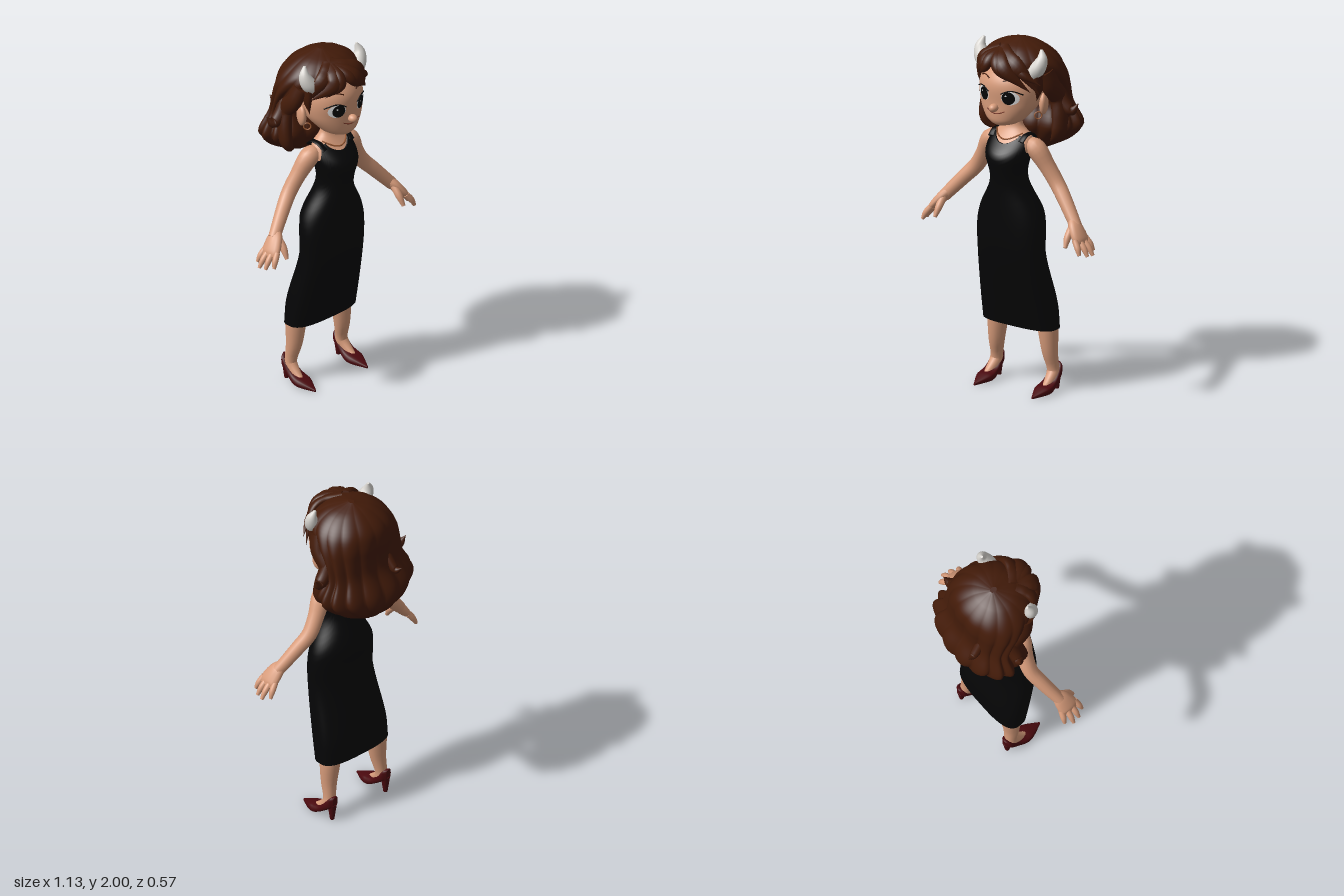
import * as THREE from 'three';

const mat = (name, color, side = THREE.FrontSide) => {
  const m = new THREE.MeshStandardMaterial({ color, side });
  m.name = name;
  return m;
};
const M = {
  skin: mat('skin', 0xd89c7b), hair: mat('hair brown', 0x431b09), dress: mat('dress black', 0x050506, THREE.DoubleSide),
  shoe: mat('shoe red', 0x4a090e), horn: mat('horn ivory', 0xd8d5d0), white: mat('eye white', 0xe8e8e8),
  black: mat('eye black', 0x050505), gold: mat('jewellery bronze', 0x9a5a34), lip: mat('mouth brown', 0x7a3a2a),
};
const { lerp, smoothstep } = THREE.MathUtils;
const TAU = Math.PI * 2;
const spow = (v, p) => Math.sign(v) * Math.abs(v) ** p;

// Surface through closed rings of points, with end caps
function skinRings(rings) {
  const n = rings[0].length, pos = [], idx = [];
  const all = [rings[0], ...rings, rings[rings.length - 1]];
  all.forEach(r => r.forEach(p => pos.push(p.x, p.y, p.z)));
  for (let i = 1; i < all.length - 2; i++) for (let j = 0; j < n; j++) {
    const k = (j + 1) % n, a = i * n + j, b = i * n + k, d = a + n, c = b + n;
    idx.push(a, d, b, b, d, c);
  }
  [0, all.length - 1].forEach(i => {
    const m = all[i].reduce((s, p) => s.add(p), new THREE.Vector3()).divideScalar(n), at = pos.length / 3;
    pos.push(m.x, m.y, m.z);
    for (let j = 0; j < n; j++) {
      const a = i * n + j, b = i * n + (j + 1) % n;
      if (i) idx.push(at, b, a); else idx.push(at, a, b);
    }
  });
  const g = new THREE.BufferGeometry();
  g.setAttribute('position', new THREE.Float32BufferAttribute(pos, 3));
  g.setIndex(idx);
  g.computeVertexNormals();
  return g;
}

// Smooth values of rows keyed on their first column
function rowAt(rows, y) {
  let i = 0;
  while (i < rows.length - 2 && y > rows[i + 1][0]) i++;
  const p = rows[i], q = rows[i + 1], o = rows[Math.max(i - 1, 0)], r = rows[Math.min(i + 2, rows.length - 1)];
  const h = q[0] - p[0], t = THREE.MathUtils.clamp((y - p[0]) / h, 0, 1), t2 = t * t, t3 = t2 * t;
  return p.map((v, k) => (2 * t3 - 3 * t2 + 1) * v + (3 * t2 - 2 * t3) * q[k]
    + (t3 - 2 * t2 + t) * h * (q[k] - o[k]) / (q[0] - o[0]) + (t3 - t2) * h * (r[k] - v) / (r[0] - p[0]));
}

// Upright loft; rows are [y, halfWidth, zFront, zBack]; square(y) makes a ring boxier, lobes scallop it
function loft(rows, { y0 = rows[0][0], grow = 0, lobes = 0, top = () => rows[rows.length - 1][0], square = () => 2, seg = 48 } = {}) {
  const ring = i => Array.from({ length: seg }, (_, j) => {
    const a = j / seg * TAU, c = Math.cos(a), v = 0.5 - 0.5 * Math.cos(Math.PI * i / 44);
    const y = lerp(y0, top(Math.abs(c)), v), [, w, f, b] = rowAt(rows, y), e = 2 / square(y);
    const depth = lobes ? lerp(0.07, 0.015, smoothstep(y, 1.6, 1.95)) : 0;
    const k = 1 + depth * (1.5 * Math.abs(Math.cos(a * lobes)) - 0.9);
    return new THREE.Vector3((w + grow) * spow(c, e) * k, y, (f + b) / 2 + ((f - b) / 2 + grow) * spow(Math.sin(a), e) * k);
  });
  return skinRings(Array.from({ length: 45 }, (_, i) => ring(i)));
}
const frontZ = (rows, x, y) => {
  const [, w, f, b] = rowAt(rows, y);
  return (f + b) / 2 + (f - b) / 2 * Math.sqrt(Math.max(0, 1 - (x / w) ** 2));
};

// Sweep; points are [x, y, z, radius along ref, radius across]
function sweep(pts, ref = [0, 0, 1]) {
  const n = 20, seg = 14, last = pts.length - 1;
  const rows = pts.map(([x, y, z, a, b = a], i) => [i, x, y, z, a, b]);
  const at = u => new THREE.Vector3(...rowAt(rows, u).slice(1, 4)), rings = [];
  for (let i = 0; i <= n; i++) {
    const u = i / n * last, c = at(u), [ra, rb] = rowAt(rows, u).slice(4);
    const t = at(Math.min(u + 0.02, last)).sub(at(Math.max(u - 0.02, 0))).normalize();
    const b = new THREE.Vector3(...ref).cross(t).normalize(), a = t.clone().cross(b);
    rings.push(Array.from({ length: seg }, (_, j) => c.clone()
      .addScaledVector(a, Math.max(ra, 0.001) * Math.cos(j / seg * TAU))
      .addScaledVector(b, Math.max(rb, 0.001) * Math.sin(j / seg * TAU))));
  }
  return skinRings(rings);
}
// Gives a path radii that narrow towards its tip
const taper = (pts, ra, rb = ra, power = 2, tip = 0) => pts.map((p, i) => {
  const k = lerp(tip, 1, Math.sqrt(1 - (i / (pts.length - 1)) ** power));
  return [...p, ra * k, rb * k];
});
const flip = (pts, s) => pts.map(([x, ...r]) => [x * s, ...r]);

const BODY = [[0.36, 0.235, 0.085, -0.095], [0.5, 0.23, 0.12, -0.09], [0.8, 0.207, 0.19, -0.018],
  [0.95, 0.21, 0.203, -0.028], [1.05, 0.19, 0.207, -0.043], [1.2, 0.108, 0.212, 0],
  [1.27, 0.104, 0.222, 0.01], [1.37, 0.13, 0.235, 0], [1.46, 0.128, 0.155, 0],
  [1.52, 0.065, 0.116, 0.02], [1.62, 0.055, 0.115, 0.03]];
const FACE = [[1.548, 0.03, 0.205, 0.14], [1.56, 0.075, 0.226, 0.08], [1.59, 0.118, 0.24, 0.03],
  [1.68, 0.176, 0.243, -0.06], [1.8, 0.178, 0.24, -0.1], [1.92, 0.11, 0.16, -0.06]];
const HAIR = [[1.335, 0.06, -0.12, -0.19], [1.4, 0.18, -0.02, -0.258], [1.45, 0.25, 0.015, -0.283],
  [1.52, 0.303, 0.035, -0.278], [1.64, 0.25, -0.01, -0.22], [1.74, 0.248, 0.04, -0.21],
  [1.82, 0.248, 0.13, -0.21], [1.9, 0.215, 0.195, -0.185], [1.97, 0.125, 0.125, -0.1], [2, 0.015, 0.02, -0.02]];
const SHOE = [[-0.085, 0.012, 0.085, 0.15], [-0.07, 0.034, 0.075, 0.15], [0, 0.044, 0.025, 0.073],
  [0.04, 0.05, 0.004, 0.054], [0.08, 0.046, 0, 0.045], [0.165, 0.005, 0, 0.012]];

export function createModel() {
  const model = new THREE.Group();
  const add = (name, geo, m) => {
    const mesh = new THREE.Mesh(geo, m);
    mesh.name = name;
    model.add(mesh);
    return mesh;
  };
  const ball = (name, m, p, r) => {
    const b = add(name, new THREE.SphereGeometry(1, 24, 16), m);
    b.position.set(...p);
    b.scale.set(...r);
    return b;
  };
  // Thin disc laid on the face
  const decal = (name, m, cx, cy, rx, ry, lift) => {
    const g = new THREE.RingGeometry(0.001, 1, 32, 5), p = g.attributes.position;
    for (let i = 0; i < p.count; i++) {
      const x = cx + p.getX(i) * rx, y = cy + p.getY(i) * ry;
      p.setXYZ(i, x, y, frontZ(FACE, x, y) + lift);
    }
    g.computeVertexNormals();
    add(name, g, m);
  };
  // Fine arc laid on a lofted surface
  const arc = (name, m, rows, x0, x1, y, rise, r) => add(name, new THREE.TubeGeometry(new THREE.CatmullRomCurve3(
    Array.from({ length: 9 }, (_, i) => {
      const x = lerp(x0, x1, i / 8), py = y + rise * Math.sin(Math.PI * i / 8);
      return new THREE.Vector3(x, py, frontZ(rows, x, py) + 0.003);
    })), 24, r, 6), m);

  // Torso and neck; dress with scooped neckline and armholes
  add('torso', loft(BODY, { y0: 1.3, grow: -0.006 }), M.skin);
  add('dress', loft(BODY, {
    top: c => c < 0.75 ? 1.435 + 0.09 * c * c : lerp(1.485, 1.385, (c - 0.75) * 4),
    square: y => lerp(2.9, 2, smoothstep(y, 0.45, 1.15)), seg: 64,
  }), M.dress);
  arc('necklace', M.gold, BODY, -0.085, 0.085, 1.49, -0.034, 0.0045);

  // Head and face
  add('head', loft(FACE), M.skin);
  ball('nose', M.skin, [0, 1.662, 0.254], [0.025, 0.023, 0.03]);
  arc('mouth', M.lip, FACE, -0.055, 0.06, 1.646, -0.018, 0.003);

  for (const s of [1, -1]) {
    const sw = (name, pts, m, ref) => add(name, sweep(flip(pts, s), ref), m);
    decal('eyeWhite', M.white, 0.087 * s, 1.725, 0.046, 0.039, 0.002);
    decal('iris', M.black, 0.08 * s, 1.725, 0.034, 0.037, 0.004);
    decal('eyeGlint', M.white, 0.08 * s - 0.011, 1.738, 0.005, 0.005, 0.006);
    arc('eyelash', M.black, FACE, 0.04 * s, 0.148 * s, 1.745, 0.022, 0.0035);
    arc('eyebrow', M.hair, FACE, 0.045 * s, 0.12 * s, 1.815, 0.011, 0.0035);
    ball('ear', M.skin, [0.184 * s, 1.667, 0.045], [0.024, 0.062, 0.045]).rotation.y = s * 0.4;
    const ring = add('earring', new THREE.TorusGeometry(0.02, 0.004, 8, 24), M.gold);
    ring.position.set(0.165 * s, 1.6, 0.07);
    ring.rotation.y = 0.8 * s;

    sw('horn', [[0.15, 1.845, 0.12, 0.04], [0.187, 1.885, 0.103, 0.043], [0.204, 1.935, 0.09, 0.031], [0.192, 1.986, 0.077, 0.007]], M.horn);
    sw('dressStrap', [[0.095, 1.45, 0.14, 0.008, 0.022], [0.1, 1.478, 0.1, 0.007, 0.02],
      [0.1, 1.478, 0.05, 0.007, 0.02], [0.095, 1.45, 0.015, 0.008, 0.022]], M.dress, [0, 1, 0]);

    // Arm and hand
    sw('arm', [[0.1, 1.42, 0.07, 0.04], [0.15, 1.405, 0.068, 0.055], [0.21, 1.31, 0.047, 0.046], [0.268, 1.22, 0.037, 0.043],
      [0.335, 1.145, 0.058, 0.04], [0.44, 1.025, 0.1, 0.034]], M.skin);
    sw('palm', [[0.41, 1.06, 0.088, 0.028, 0.025], [0.445, 1.02, 0.108, 0.05, 0.03], [0.485, 0.968, 0.122, 0.06, 0.025],
      [0.505, 0.945, 0.125, 0.045, 0.012]], M.skin);
    [0.528, 0.555, 0.548, 0.523].forEach((x, i) => {
      const z0 = 0.077 + 0.03 * i, z = 0.062 + 0.042 * i, y = 1.152 - 0.485 * x;
      sw('finger', taper([[0.48, 0.972, z0], [lerp(0.484, x, 0.6), lerp(0.968, y, 0.5), lerp(z0, z, 0.6)], [x, y, z]], 0.017, 0.017, 4, 0.55), M.skin);
    });
    sw('thumb', taper([[0.43, 1.03, 0.12], [0.43, 0.98, 0.165], [0.435, 0.928, 0.196]], 0.021, 0.021, 3, 0.5), M.skin, [1, 0, 0]);

    // Leg, foot and heeled shoe
    sw('leg', [[0.166, 0.385, -0.016, 0.055], [0.168, 0.35, -0.018, 0.058], [0.177, 0.23, -0.02, 0.046], [0.186, 0.14, -0.034, 0.035],
      [0.19, 0.095, -0.032, 0.036], [0.194, 0.05, 0.02, 0.026], [0.196, 0.025, 0.07, 0.015]], M.skin, [1, 0, 0]);
    add('shoe', skinRings(Array.from({ length: 25 }, (_, i) => {
      const [z, w, lo, hi] = rowAt(SHOE, lerp(-0.085, 0.165, i / 24));
      return Array.from({ length: 20 }, (_, j) => {
        const a = -j / 20 * TAU;
        return new THREE.Vector3(0.193 * s + w * spow(Math.cos(a), 0.8), (lo + hi) / 2 + (hi - lo) / 2 * spow(Math.sin(a), 0.6), z);
      });
    })), M.shoe);
    const heel = add('shoeHeel', new THREE.CylinderGeometry(0.026, 0.012, 0.1, 16), M.shoe);
    heel.position.set(0.193 * s, 0.05, -0.064);

    // Sideburn, lock behind the ear and flipped-out tip
    sw('sideburn', taper([[0.19, 1.87, 0.1], [0.188, 1.78, 0.095], [0.18, 1.695, 0.105]], 0.022, 0.04), M.hair, [1, 0, 0.2]);
    sw('sideLock', taper([[0.195, 1.85, 0.05], [0.218, 1.76, 0.02], [0.218, 1.68, -0.045], [0.24, 1.57, -0.03],
      [0.235, 1.48, -0.015], [0.17, 1.42, -0.03]], 0.04, 0.055, 4), M.hair, [1, 0, 0.3]);
    sw('hairFlip', taper([[0.19, 1.75, -0.06], [0.24, 1.66, -0.06], [0.29, 1.615, -0.065], [0.326, 1.658, -0.08]], 0.04), M.hair);
  }

  // Scalloped hair volume
  add('hair', loft(HAIR, { lobes: 7, seg: 168 }), M.hair);
  add('backFlip', sweep(taper([[-0.1, 1.72, -0.15], [-0.112, 1.62, -0.23], [-0.12, 1.64, -0.278]], 0.028), [1, 0, 0]), M.hair);

  // Parted fringe: each lock runs from the parting through a middle point to its tip
  [
    [[0.07, 1.875, 0.232], [0.18, 1.76, 0.165], 0.05],
    [[0.03, 1.872, 0.24], [0.125, 1.803, 0.21], 0.036],
    [[0.12, 1.89, 0.185], [0.215, 1.74, 0.125], 0.055],
    [[0.14, 1.86, 0.18], [0.226, 1.8, 0.135], 0.035],
    [[-0.11, 1.878, 0.212], [-0.195, 1.79, 0.125], 0.05],
    [[-0.075, 1.875, 0.232], [-0.145, 1.815, 0.19], 0.036],
    [[-0.155, 1.885, 0.155], [-0.21, 1.76, 0.09], 0.05],
  ].forEach(([mid, tip, width]) => {
    const path = [[-0.045, 1.945, 0.12], [lerp(-0.045, mid[0], 0.45), lerp(1.955, mid[1], 0.4), lerp(0.13, mid[2], 0.75)], mid, tip];
    add('fringeLock', sweep(taper(path, 0.03, width), [mid[0], 0.15, 0.25]), M.hair);
  });

  return model;
}
